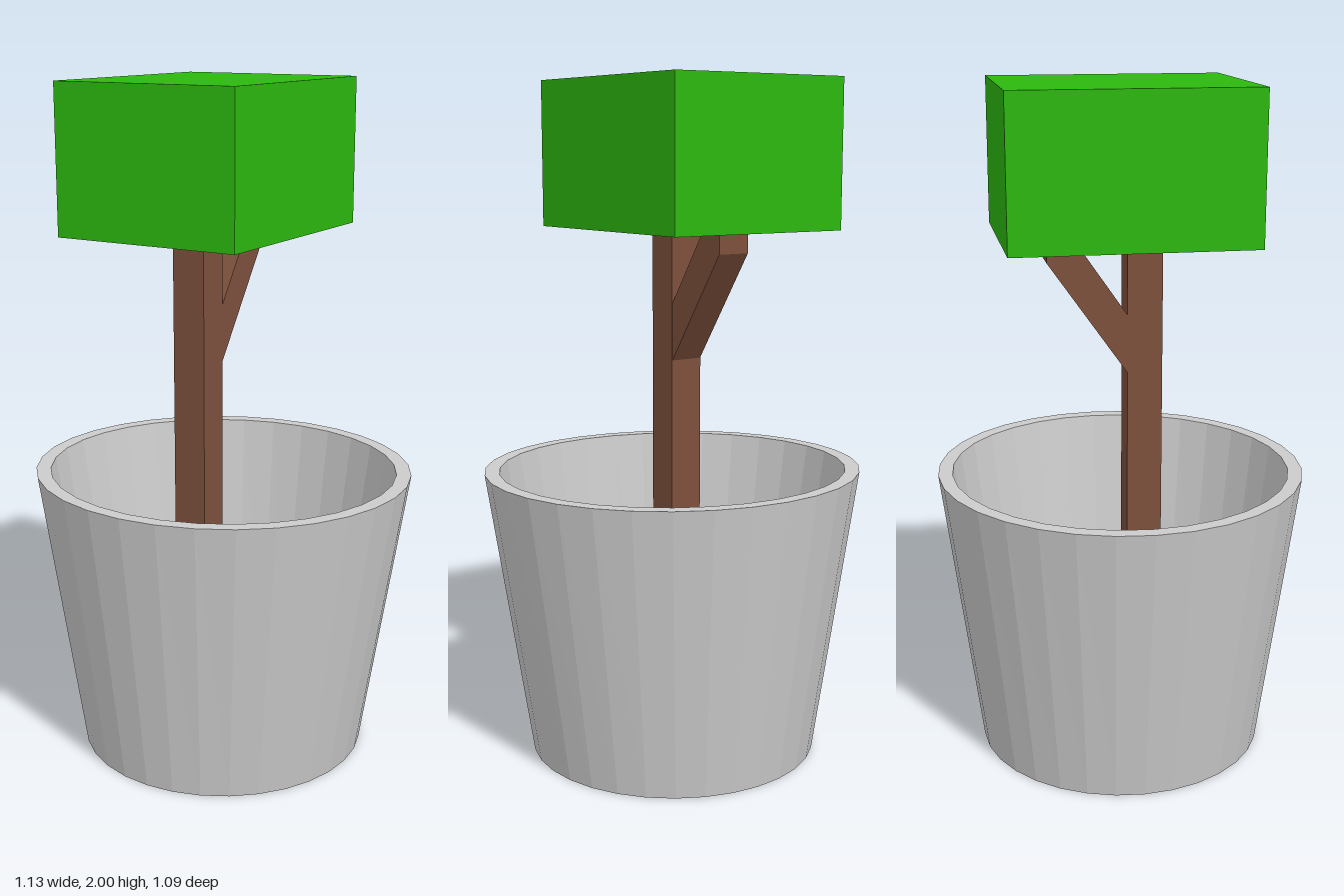
import * as THREE from 'three';

const material = (color) => new THREE.MeshStandardMaterial({ color, flatShading: true });

function addMesh(group, name, geometry, mat) {
  const mesh = new THREE.Mesh(geometry, mat);
  mesh.name = name;
  group.add(mesh);
  return mesh;
}

// Box given by its lower and upper corners
function boxBetween([x0, y0, z0], [x1, y1, z1]) {
  return new THREE.BoxGeometry(x1 - x0, y1 - y0, z1 - z0)
    .translate((x0 + x1) / 2, (y0 + y1) / 2, (z0 + z1) / 2);
}

export function createModel() {
  const model = new THREE.Group();
  model.name = 'pottedTree';
  const grey = material(0xcccccc);
  const bark = material(0x7d503c);
  const leaf = material(0x2cb80f);

  // Hollow tapered pot with a thick wall and a floor
  const rimY = 0.865, floorY = 0.05;
  const profile = [
    [0, 0], [0.43, 0], [0.567, rimY], [0.523, rimY], [0.397, floorY], [0, floorY],
  ].map(([r, y]) => new THREE.Vector2(r, y));
  const pot = new THREE.LatheGeometry(profile, 32);
  // Round at the base, slightly oval towards the rim
  const p = pot.attributes.position;
  for (let i = 0; i < p.count; i++) {
    p.setZ(i, p.getZ(i) * (1 - 0.04 * p.getY(i) / rimY));
  }
  pot.computeVertexNormals();
  addMesh(model, 'pot', pot, grey);

  // Square trunk rising from the pot floor
  addMesh(model, 'trunk', boxBetween([-0.103, floorY, 0.004], [0, 1.58, 0.106]), bark);

  // Slanted branch towards the back, cut upright at its end
  const side = new THREE.Shape([
    [-0.01, 1.176], [0.225, 1.51], [0.225, 1.58], [0.152, 1.58], [-0.01, 1.346],
  ].map(([s, y]) => new THREE.Vector2(s, y)));
  const branch = new THREE.ExtrudeGeometry(side, { depth: 0.101, bevelEnabled: false })
    .rotateY(Math.PI / 2)
    .translate(-0.102, 0, 0);
  addMesh(model, 'branch', branch, bark);

  // Block of foliage
  addMesh(model, 'foliage', boxBetween([-0.335, 1.573, -0.355], [0.24, 2, 0.337]), leaf);

  return model;
}
